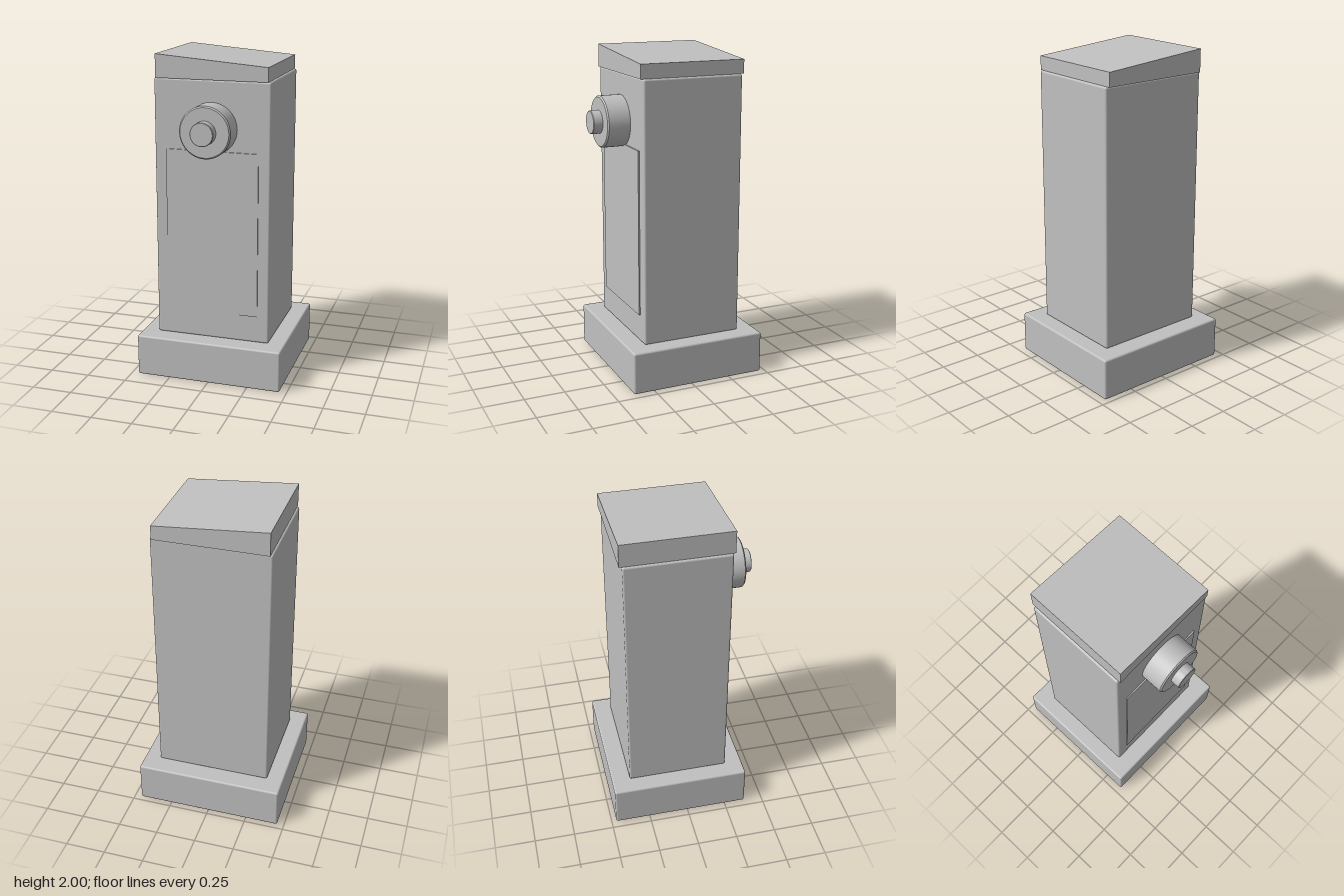
import * as THREE from 'three';
import { toCreasedNormals } from 'three/addons/utils/BufferGeometryUtils.js';
import { RoundedBoxGeometry } from 'three/addons/geometries/RoundedBoxGeometry.js';

export function createModel() {
  const model = new THREE.Group();
  const grey = new THREE.MeshStandardMaterial({ color: 0xc0c0c0 });
  grey.name = 'light grey';

  const add = (name, geometry) => {
    const mesh = new THREE.Mesh(geometry, grey);
    mesh.name = name;
    model.add(mesh);
  };

  // Box given by its extents, with softened edges
  const block = (name, x, y0, y1, z0, z1, radius) => {
    const geometry = new RoundedBoxGeometry(2 * x, y1 - y0, z1 - z0, 3, radius);
    add(name, geometry.translate(0, (y0 + y1) / 2, (z0 + z1) / 2));
  };

  // Disc facing +z with a chamfered front rim
  const disc = (name, radius, z0, z1, bevel) => {
    const profile = [[0, z0], [radius, z0], [radius, z1 - bevel], [radius - bevel, z1], [0, z1]];
    const geometry = new THREE.LatheGeometry(profile.map(([r, z]) => new THREE.Vector2(r, z)), 48);
    geometry.rotateX(Math.PI / 2).translate(0, 1.575, 0);
    add(name, toCreasedNormals(geometry, 0.6));
  };

  block('base', 0.457, 0, 0.26, -0.47, 0.383, 0.012);
  block('body', 0.356, 0.26, 1.86, -0.356, 0.272, 0.012);
  add('frontPanel', new THREE.BoxGeometry(0.57, 1.01, 0.02).translate(0, 0.935, 0.27));

  // Knob and its centre button
  disc('knob', 0.155, 0.26, 0.413, 0.008);
  disc('button', 0.07, 0.4, 0.47, 0.003);

  // Cap sloping down towards +x
  const side = new THREE.Shape([[-0.343, 1.86], [0.341, 1.86], [0.341, 1.945], [-0.343, 2]]
    .map(([x, y]) => new THREE.Vector2(x, y)));
  const cap = new THREE.ExtrudeGeometry(side, { depth: 0.656, bevelEnabled: false });
  add('slopedCap', cap.translate(0, 0, -0.372));

  return model;
}
